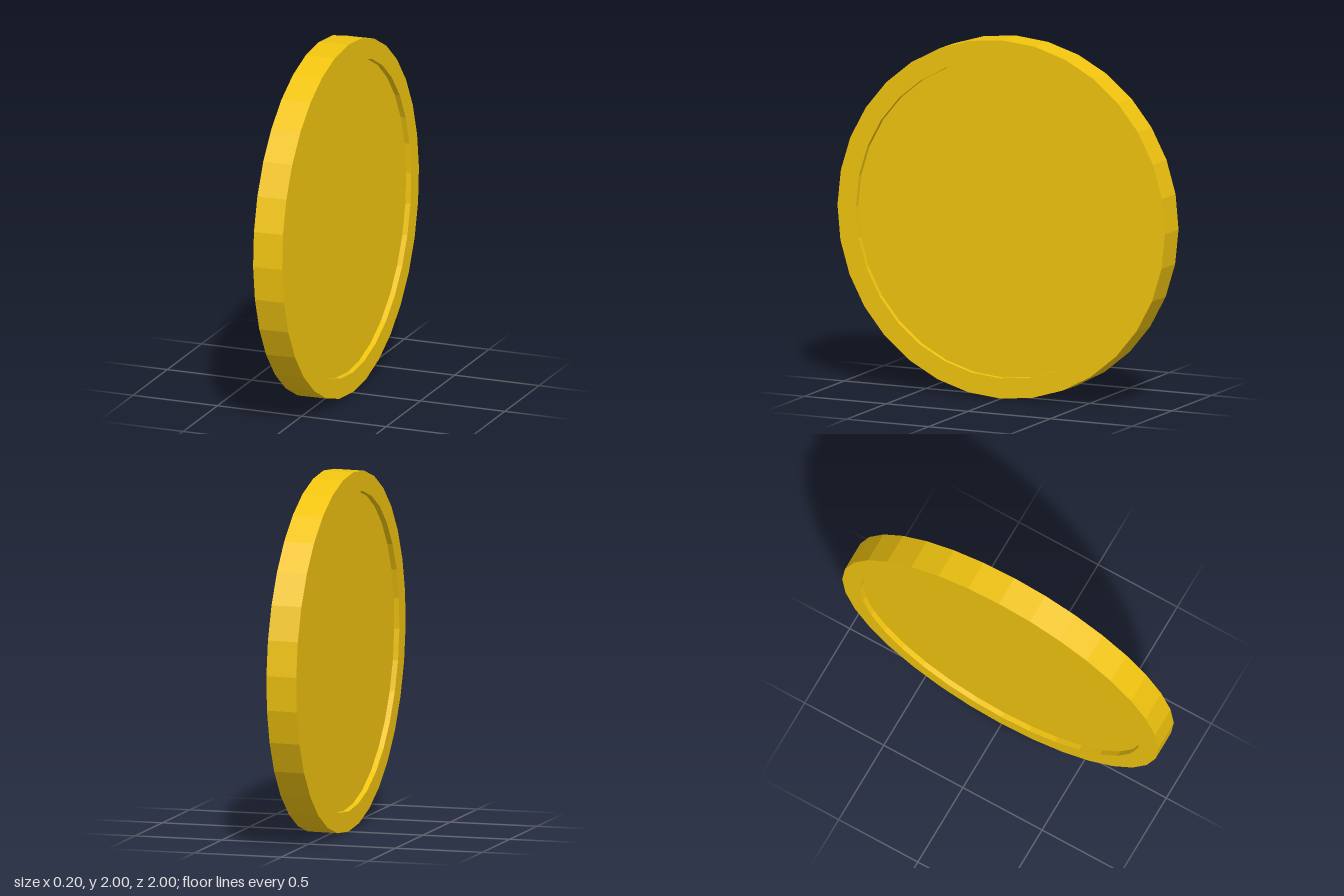
import * as THREE from 'three';

export function createModel() {
  const group = new THREE.Group();
  group.name = 'coin';

  const gold = new THREE.MeshStandardMaterial({ color: 0xf1c40f, flatShading: true });
  const radius = 0.9988, rimInner = 0.886, half = 0.086, floor = 0.056;

  // Disc with a raised rim and a recessed face on both sides
  const profile = [
    [0, -floor], [rimInner, -floor], [rimInner, -half], [radius, -half],
    [radius, half], [rimInner, half], [rimInner, floor], [0, floor],
  ].map(([r, y]) => new THREE.Vector2(r, y));

  const disc = new THREE.Mesh(new THREE.LatheGeometry(profile, 32), gold);
  disc.name = 'coinDisc';

  // Stand on edge, leaning very slightly
  disc.rotation.z = Math.PI / 2 + 0.0148;
  disc.position.y = 1;
  group.add(disc);
  return group;
}
